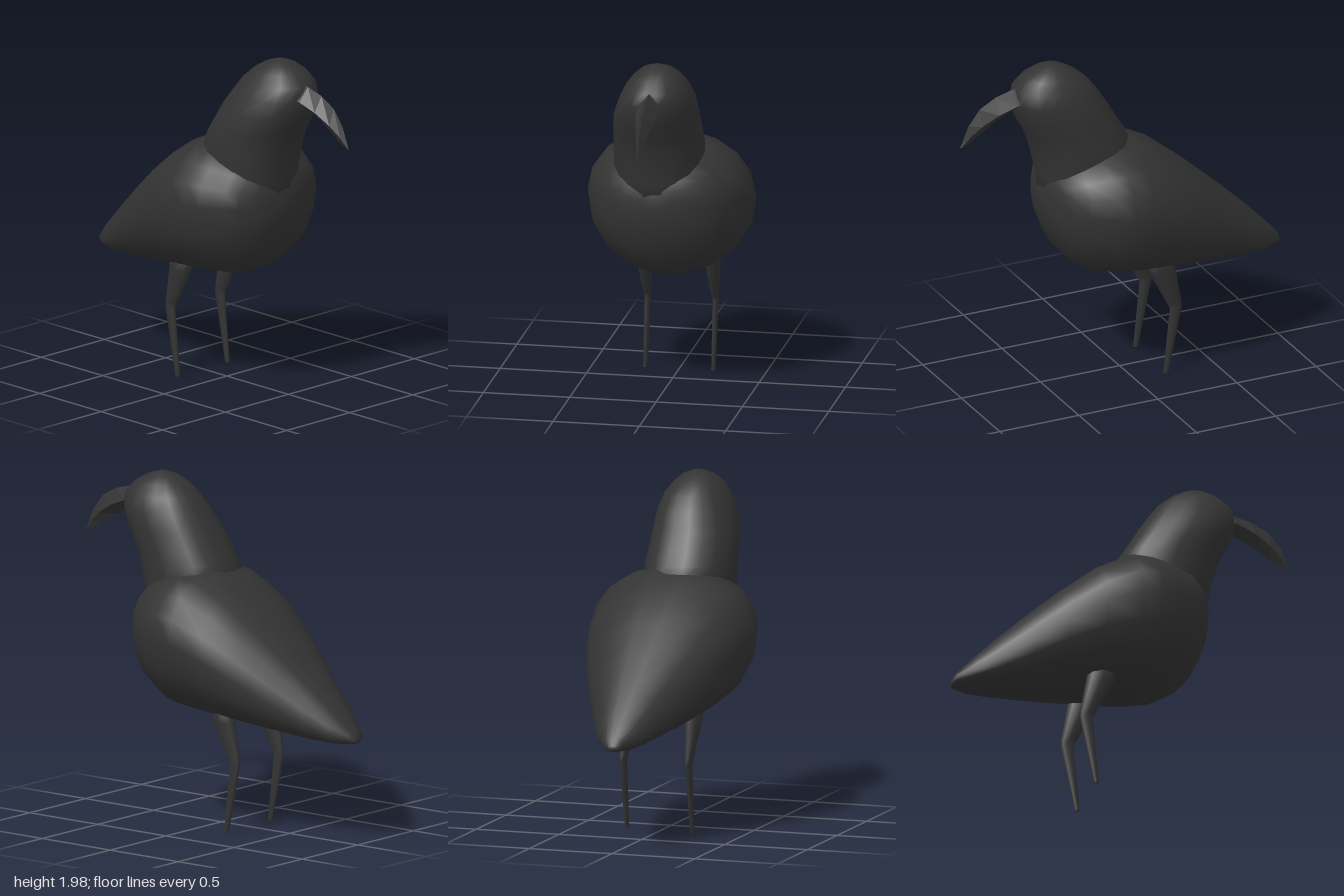
import * as THREE from 'three';

// Skins a list of rings (arrays of Vector3) and closes both ends with a fan.
function loft(rings, faceted = false) {
  const n = rings[0].length, pos = [], idx = [];
  rings.forEach(r => r.forEach(p => pos.push(p.x, p.y, p.z)));
  for (let i = 0; i < rings.length - 1; i++) {
    for (let j = 0; j < n; j++) {
      const k = (j + 1) % n, a = i * n, b = a + n;
      idx.push(a + j, a + k, b + k, a + j, b + k, b + j);
    }
  }
  [0, rings.length - 1].forEach(i => {
    const c = new THREE.Vector3();
    rings[i].forEach(p => c.addScaledVector(p, 1 / n));
    const centre = pos.length / 3;
    pos.push(c.x, c.y, c.z);
    for (let j = 0; j < n; j++) {
      const a = i * n + j, b = i * n + (j + 1) % n;
      if (i === 0) idx.push(centre, b, a); else idx.push(centre, a, b);
    }
  });
  let geo = new THREE.BufferGeometry();
  geo.setAttribute('position', new THREE.Float32BufferAttribute(pos, 3));
  geo.setIndex(idx);
  if (faceted) geo = geo.toNonIndexed();
  geo.computeVertexNormals();
  return geo;
}

// Rounded ring outline: values of cos and sin, swollen by a power below 1.
function outline(n, power) {
  const swell = v => Math.sign(v) * Math.pow(Math.abs(v), power);
  return Array.from({ length: n }, (_, j) => {
    const a = j / n * Math.PI * 2;
    return [swell(Math.cos(a)), swell(Math.sin(a))];
  });
}

// Upright ring facing z, with separate upper and lower halves.
const uprightRing = (n, power, x, z, w, top, bottom, mid) =>
  outline(n, power).map(([c, s]) => new THREE.Vector3(
    x + w * c, mid + s * (s > 0 ? top - mid : mid - bottom), z));

// Level ring facing y, between a front and a back edge.
const levelRing = (n, power, x, y, w, front, back) =>
  outline(n, power).map(([c, s]) => new THREE.Vector3(
    x + w * c, y, (front + back) / 2 - s * (front - back) / 2));

export function createModel() {
  const plumage = new THREE.MeshStandardMaterial({ color: 0x333333 });
  plumage.name = 'charcoal';
  const model = new THREE.Group();
  model.name = 'bird';
  const add = (name, geo) => {
    const mesh = new THREE.Mesh(geo, plumage);
    mesh.name = name;
    model.add(mesh);
    return mesh;
  };

  // Body from tail tip to breast: z, half width, top, bottom, widest height
  const body = [
    [-1.0, 0.025, 0.62, 0.59, 0.605],
    [-0.98, 0.06, 0.66, 0.583, 0.62],
    [-0.88, 0.135, 0.77, 0.575, 0.65],
    [-0.75, 0.20, 0.9, 0.58, 0.71],
    [-0.58, 0.285, 1.06, 0.595, 0.81],
    [-0.4, 0.37, 1.22, 0.61, 0.92],
    [-0.2, 0.445, 1.38, 0.628, 1.03],
    [0.0, 0.48, 1.48, 0.643, 1.11],
    [0.12, 0.47, 1.48, 0.655, 1.13],
    [0.22, 0.445, 1.46, 0.675, 1.14],
    [0.34, 0.375, 1.42, 0.745, 1.14],
    [0.41, 0.305, 1.37, 0.83, 1.14],
    [0.46, 0.215, 1.32, 0.94, 1.14],
    [0.485, 0.12, 1.25, 1.03, 1.14],
    [0.493, 0.03, 1.17, 1.11, 1.14],
  ];
  add('body', loft(body.map(([z, w, t, b, m]) => uprightRing(18, 0.94, 0, z, w, t, b, m))));

  // Neck and head, bottom to top: y, half width, centre x, front z, back z
  const head = [
    [1.1, 0.24, -0.02, 0.485, -0.02],
    [1.28, 0.26, -0.03, 0.495, -0.07],
    [1.42, 0.26, -0.03, 0.53, -0.06],
    [1.5, 0.255, -0.03, 0.55, -0.025],
    [1.57, 0.25, -0.03, 0.58, 0.02],
    [1.68, 0.24, -0.025, 0.64, 0.085],
    [1.78, 0.215, -0.01, 0.667, 0.15],
    [1.86, 0.18, -0.005, 0.66, 0.21],
    [1.92, 0.135, -0.005, 0.6, 0.28],
    [1.96, 0.085, -0.005, 0.53, 0.35],
    [1.98, 0.03, -0.005, 0.47, 0.41],
  ];
  add('headAndNeck', loft(head.map(([y, w, x, f, b]) => levelRing(18, 0.92, x, y, w, f, b))));

  // Curved beak with a diamond section: z, half width, top, bottom
  const beak = [
    [0.58, 0.075, 1.875, 1.75],
    [0.67, 0.07, 1.865, 1.735],
    [0.78, 0.055, 1.835, 1.685],
    [0.88, 0.036, 1.78, 1.622],
    [0.95, 0.017, 1.69, 1.58],
    [1.0, 0.003, 1.57, 1.56],
  ];
  add('beak', loft(beak.map(([z, w, t, b]) =>
    uprightRing(4, 1, -0.01, z, w, t, b, b + (t - b) * 0.4)), true));

  // Legs, foot to hip: y, half width, front z, back z
  const leg = [
    [0.0, 0.013, -0.182, -0.212],
    [0.4, 0.018, -0.222, -0.298],
    [0.43, 0.021, -0.205, -0.295],
    [0.64, 0.046, -0.095, -0.258],
    [0.74, 0.05, -0.07, -0.25],
  ];
  for (const [name, side] of [['leftLeg', 1], ['rightLeg', -1]]) {
    add(name, loft(leg.map(([y, w, f, b]) => levelRing(8, 1, 0.197 * side, y, w, f, b))));
  }
  return model;
}
